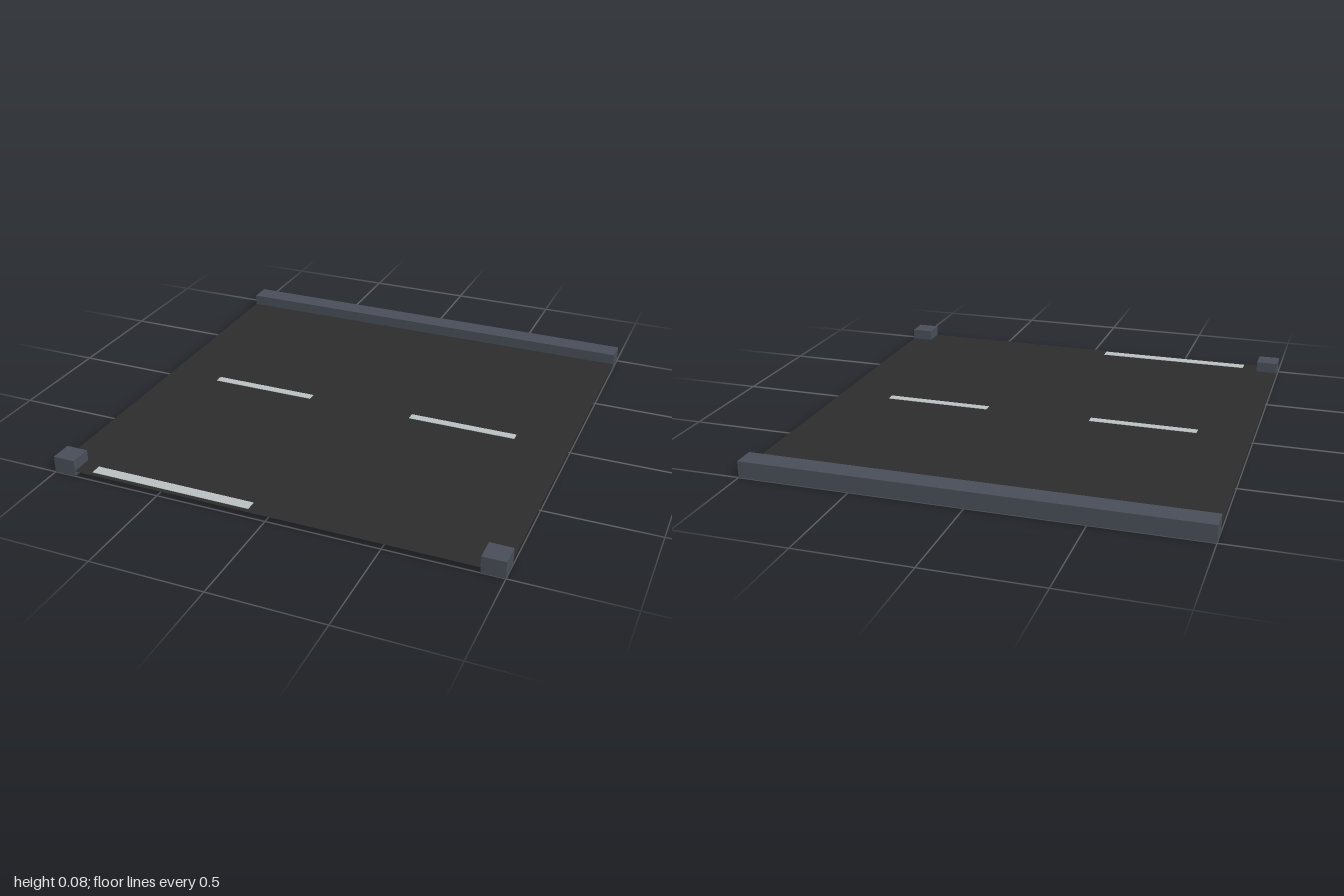
import * as THREE from 'three';

export function createModel() {
  const model = new THREE.Group();
  const asphalt = new THREE.MeshStandardMaterial({ name: 'asphalt', color: 0x2d2d2d, side: THREE.DoubleSide });
  const kerbGrey = new THREE.MeshStandardMaterial({ name: 'kerb grey', color: 0x4a4f59 });
  const paint = new THREE.MeshStandardMaterial({ name: 'road paint', color: 0xbcc2c3 });

  const ROAD_Y = 0.025;
  const KERB_H = 0.075;
  const KERB_W = 0.1;

  const add = (name, geometry, material, x, y, z) => {
    const mesh = new THREE.Mesh(geometry, material);
    mesh.name = name;
    mesh.position.set(x, y, z);
    model.add(mesh);
  };

  // Road surface, a single open sheet
  add('roadSurface', new THREE.PlaneGeometry(2, 2).rotateX(-Math.PI / 2), asphalt, 0, ROAD_Y, 0);

  // Long kerb along the back edge
  add('backKerb', new THREE.BoxGeometry(2, KERB_H, KERB_W), kerbGrey, 0, KERB_H / 2, -0.95);

  // Kerb corners at the front and dashes across the middle
  for (const [side, s] of [['left', 1], ['right', -1]]) {
    add(`${side}CornerKerb`, new THREE.BoxGeometry(KERB_W, KERB_H, KERB_W), kerbGrey, s * 0.95, KERB_H / 2, 0.95);
    add(`${side}LaneDash`, new THREE.BoxGeometry(0.5, 0.002, 0.04), paint, s * 0.5, ROAD_Y + 0.0015, 0);
  }

  // Stop line on the right half of the front edge
  add('stopLine', new THREE.BoxGeometry(0.74, 0.002, 0.05), paint, -0.455, ROAD_Y + 0.0015, 0.955);

  return model;
}
